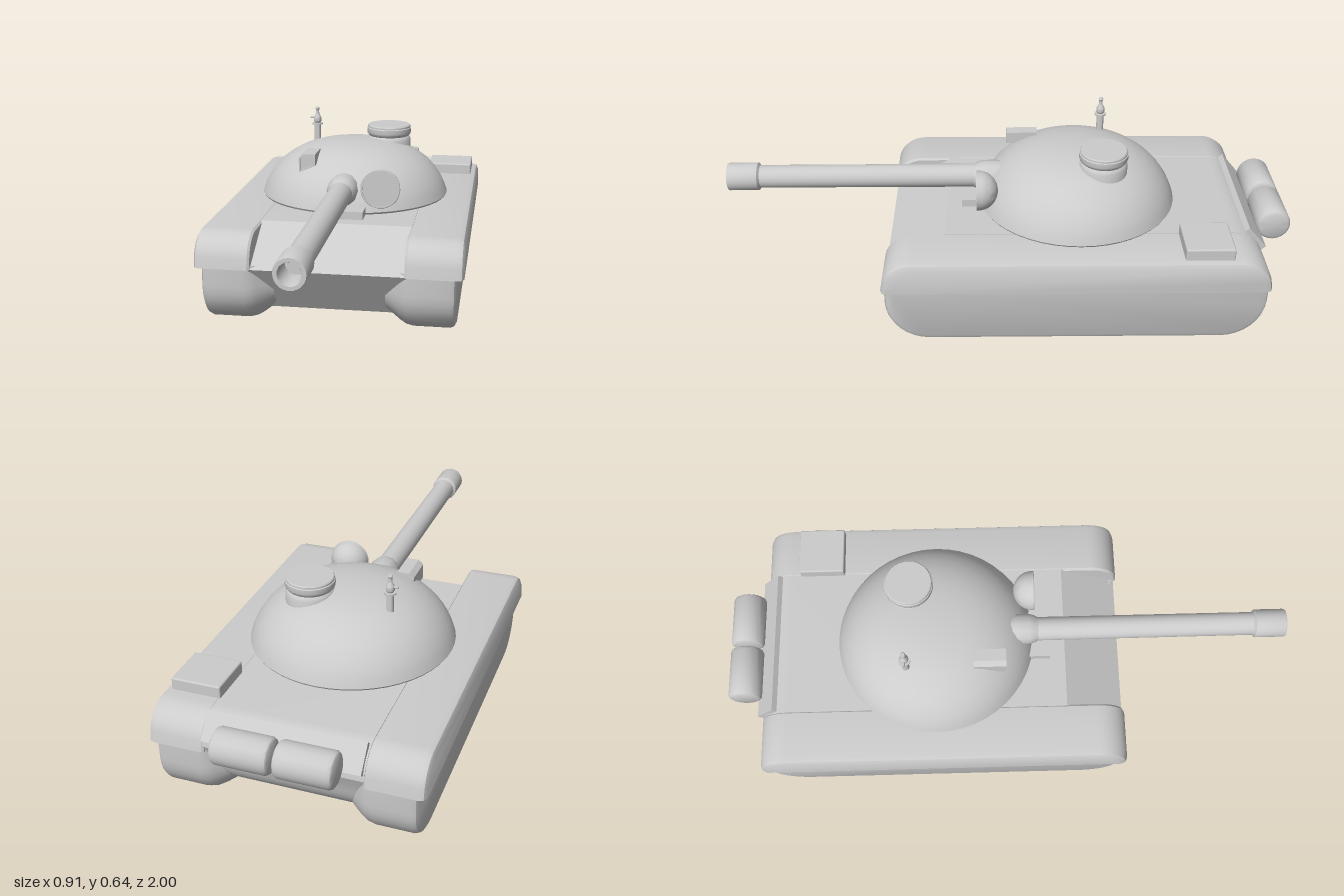
import * as THREE from 'three';
import { toCreasedNormals } from 'three/addons/utils/BufferGeometryUtils.js';
import { RoundedBoxGeometry } from 'three/addons/geometries/RoundedBoxGeometry.js';

const grey = new THREE.MeshStandardMaterial({ color: 0xcccccc });

function part(parent, name, geometry, x = 0, y = 0, z = 0) {
  const mesh = new THREE.Mesh(geometry, grey);
  mesh.name = name;
  mesh.position.set(x, y, z);
  parent.add(mesh);
  return mesh;
}

// Turned part from [radius, height] pairs, listed bottom to top
function turned(points, sides = 32, crease = 0.6) {
  const g = new THREE.LatheGeometry(points.map(p => new THREE.Vector2(...p)), sides);
  return toCreasedNormals(g, crease);
}

// Points of an arc in (z, y)
function arc(cz, cy, rz, ry, from, to, n = 8) {
  return Array.from({ length: n + 1 }, (_, i) => {
    const a = (from + (to - from) * i / n) * Math.PI / 180;
    return [cz + rz * Math.cos(a), cy + ry * Math.sin(a)];
  });
}

// Side outline of a track, shrunk by d along front, rear and bottom
const trackOutline = d => [
  [0.42 - d, 0.225], [-0.885 + d, 0.225],
  ...arc(-0.735, 0.15, 0.15 - d, 0.148 - d, 180, 270),
  ...arc(0.27, 0.15, 0.15 - d, 0.148 - d, 270, 360),
];

// Side outline of a fender, shrunk by d along front, rear and top
const fenderOutline = d => [
  [0.43 - d, 0.215],
  ...arc(0.32, 0.235, 0.105 - d, 0.095 - d, 10, 90),
  ...arc(-0.78, 0.235, 0.105 - d, 0.095 - d, 90, 170),
  [-0.89 + d, 0.215],
];

// Skin over outlines placed at [x, inset] stations, mirrored by side
function loft(outline, stations, side) {
  const rows = stations.map(([x, d]) => [x * side, d]).sort((a, b) => b[0] - a[0]);
  const rings = rows.map(([x, d]) => outline(d).map(([z, y]) => new THREE.Vector3(x, y, z)));
  const n = rings[0].length, pos = [];
  const tri = (...v) => v.forEach(p => pos.push(p.x, p.y, p.z));
  for (let k = 0; k < rings.length - 1; k++) {
    const a = rings[k], b = rings[k + 1];
    for (let i = 0; i < n; i++) {
      const j = (i + 1) % n;
      tri(a[i], a[j], b[j]);
      tri(a[i], b[j], b[i]);
    }
  }
  const first = rings[0], last = rings[rings.length - 1];
  for (let i = 1; i < n - 1; i++) {
    tri(first[0], first[i + 1], first[i]);
    tri(last[0], last[i], last[i + 1]);
  }
  const g = new THREE.BufferGeometry();
  g.setAttribute('position', new THREE.Float32BufferAttribute(pos, 3));
  return toCreasedNormals(g, 0.6);
}

function addHull(model) {
  const hull = new THREE.Group();
  hull.name = 'hull';
  model.add(hull);

  // Central body with sloped nose and rounded tail
  const outline = [
    [0.215, 0.33], ...arc(-0.78, 0.235, 0.105, 0.095, 90, 180), [-0.87, 0.2],
    ...arc(-0.72, 0.19, 0.14, 0.14, 190, 270), [0.31, 0.05], [0.42, 0.215],
  ];
  const shape = new THREE.Shape(outline.map(p => new THREE.Vector2(...p)));
  const body = new THREE.ExtrudeGeometry(shape, { depth: 0.53, bevelEnabled: false });
  body.translate(0, 0, -0.265).rotateY(-Math.PI / 2);
  part(hull, 'body', toCreasedNormals(body, 0.5));

  for (const side of [1, -1]) {
    const label = side > 0 ? 'left' : 'right';
    part(hull, label + 'Track', loft(trackOutline,
      [[0.19, 0.055], [0.205, 0.045], [0.24, 0.018], [0.26, 0.006], [0.285, 0],
        [0.41, 0], [0.423, 0.006], [0.43, 0.02]], side));
    part(hull, label + 'Fender', loft(fenderOutline,
      [[0.26, 0.006], [0.268, 0], [0.43, 0], [0.447, 0.006], [0.455, 0.022]], side));
  }

  part(hull, 'deckBox', new RoundedBoxGeometry(0.17, 0.05, 0.165, 2, 0.006), 0.345, 0.346, -0.672);

  // Rear drums on a tilted mounting plate
  const plate = part(hull, 'drumPlate', new THREE.BoxGeometry(0.52, 0.02, 0.1), 0, 0.3, -0.86);
  plate.rotation.x = -0.87;
  const drum = turned([[0, -0.093], [0.048, -0.093], [0.055, -0.089], [0.059, -0.081],
    [0.059, 0.081], [0.055, 0.089], [0.048, 0.093], [0, 0.093]]);
  drum.rotateZ(Math.PI / 2);
  for (const x of [-0.11, 0.092]) part(hull, 'drum', drum, x, 0.304, -0.941);
}

function addTurret(model) {
  const turret = new THREE.Group();
  turret.name = 'turret';
  model.add(turret);

  part(turret, 'dome', turned([[0, 0.325], [0.345, 0.325], [0.353, 0.337], [0.345, 0.362],
    [0.33, 0.394], [0.308, 0.426], [0.28, 0.456], [0.244, 0.483], [0.2, 0.506],
    [0.15, 0.522], [0.09, 0.532], [0, 0.536]], 48), 0, 0, -0.25);

  // Commander's hatch
  part(turret, 'hatch', turned([[0.084, 0.47], [0.084, 0.524], [0.08, 0.533], [0.076, 0.538],
    [0.083, 0.546], [0.085, 0.552], [0.085, 0.568], [0.082, 0.57], [0.082, 0.576],
    [0.079, 0.58], [0, 0.58]]), 0.12, 0, -0.333);

  // Slim mast with collar, tapered body and ball tip
  const mast = new THREE.Group();
  mast.name = 'mast';
  mast.position.set(-0.164, 0, -0.345);
  turret.add(mast);
  part(mast, 'mastPost', turned([[0.013, 0.48], [0.013, 0.569], [0.021, 0.569], [0.021, 0.575],
    [0.011, 0.575], [0.015, 0.583], [0.015, 0.596], [0.007, 0.61], [0.006, 0.624],
    [0.009, 0.631], [0.006, 0.637], [0, 0.639]], 12));
  const nub = part(mast, 'mastNub', new THREE.CylinderGeometry(0.004, 0.004, 0.022, 8), -0.017, 0.595, 0);
  nub.rotation.z = Math.PI / 2;

  // Sight housing: a hooded frame with a recessed pane
  const outline = [[-0.172, 0.455], [-0.112, 0.48], [-0.112, 0.522], [-0.155, 0.522], [-0.172, 0.508]];
  const points = k => outline.map(([x, y]) =>
    new THREE.Vector2(-0.142 + (x + 0.142) * k, 0.495 + (y - 0.495) * k));
  const frame = new THREE.Shape(points(1));
  frame.holes.push(new THREE.Path(points(0.78)));
  const sight = new THREE.Group();
  sight.name = 'sight';
  turret.add(sight);
  part(sight, 'sightFrame', new THREE.ExtrudeGeometry(frame, { depth: 0.112, bevelEnabled: false }), 0, 0, -0.112);
  part(sight, 'sightPane', new THREE.ExtrudeGeometry(new THREE.Shape(points(0.8)),
    { depth: 0.1, bevelEnabled: false }), 0, 0, -0.112);

  // Searchlight: bowl behind a flat lens with a raised rim
  const bowl = arc(0, 0, 0.07, 0.068, -90, 0, 10);
  const light = turned([...bowl, [0.071, 0.004], [0.069, 0.007], [0.064, 0.007], [0.064, 0.002], [0, 0.002]]);
  part(turret, 'searchlight', light.rotateX(Math.PI / 2), 0.14, 0.43, 0.1);

  // Gun with collar at the root and hollow muzzle
  const collar = turned([[0.05, -0.05], [0.055, 0.04], [0.055, 0.085], [0.05, 0.102], [0.041, 0.12]], 12);
  part(turret, 'gunCollar', collar.rotateX(Math.PI / 2), 0, 0.41, 0);
  const barrel = turned([[0.042, 0], [0.041, 0.885], [0.05, 0.892], [0.05, 0.995], [0.048, 1],
    [0.036, 1], [0.034, 0.995], [0.034, 0.9], [0, 0.9]], 20);
  part(turret, 'gunBarrel', barrel.rotateX(Math.PI / 2), 0, 0.41, 0);

  part(turret, 'frontStep', new THREE.BoxGeometry(0.172, 0.03, 0.12), 0, 0.343, 0.1);
}

export function createModel() {
  const model = new THREE.Group();
  model.name = 'tank';
  addHull(model);
  addTurret(model);
  return model;
}
